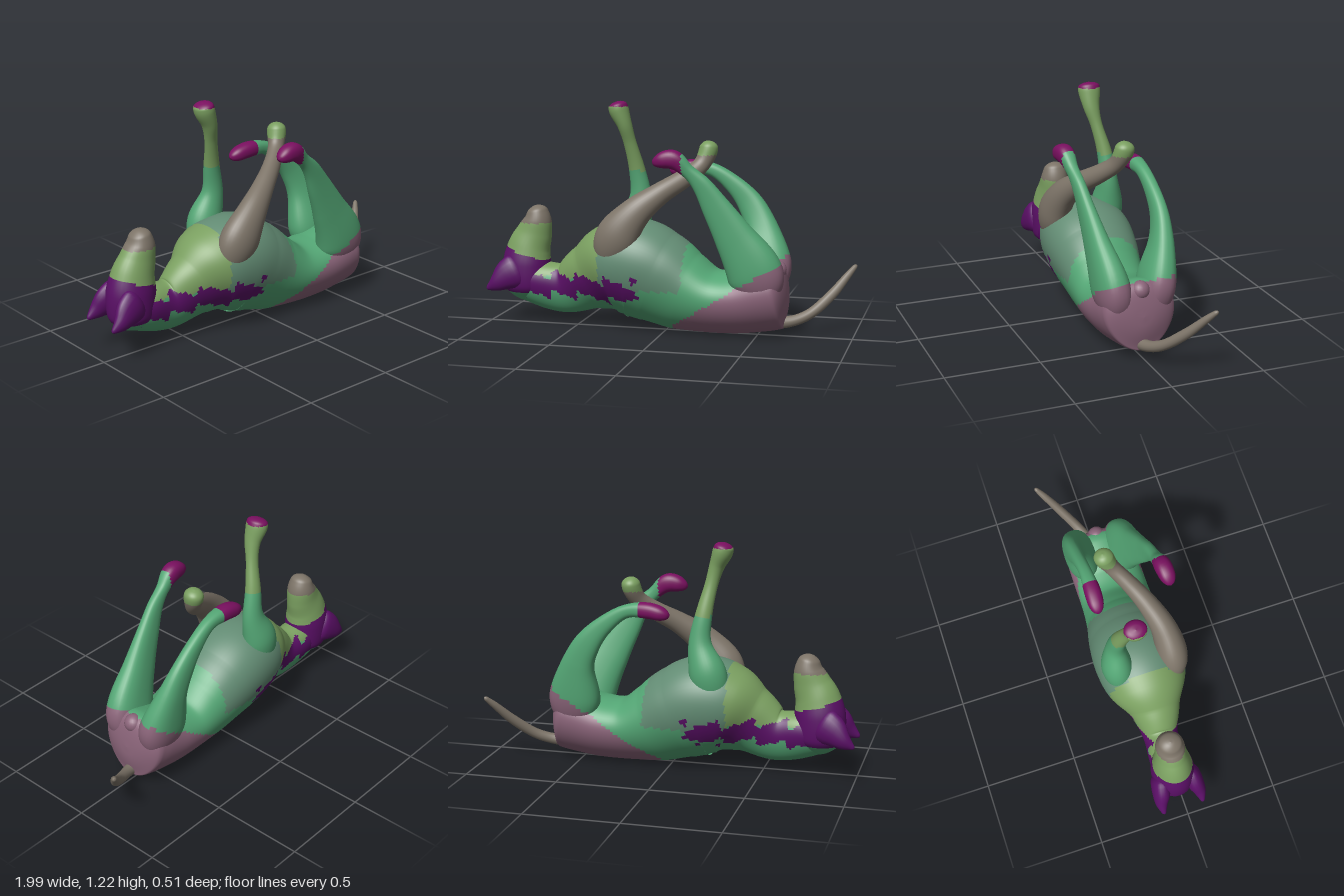
import * as THREE from 'three';

const GREEN = 0x53a574, OLIVE = 0x7a9f60, PURPLE = 0x5a0f66, MAGENTA = 0x7a1060;
const PINK = 0x8a6479, TAUPE = 0x7d7468, GREY = 0x638c74;

// Smooth skin through sections [x, y, z, radius across, radius sideways].
// cap0/cap1: share of the length rounded off at each end; egg: widens the upper half;
// round: 1 is an ellipse, less is squarer. paint(x, y, z) picks the colour of each patch.
function loft(name, sections, paint, { cap0 = 0.05, cap1 = 0.05, egg = 0, round = 1, rings = 64, sides = 32 } = {}) {
  const path = new THREE.CatmullRomCurve3(sections.map(s => new THREE.Vector3(s[0], s[1], s[2])));
  const radii = new THREE.CatmullRomCurve3(sections.map(s => new THREE.Vector3(s[3], s[4], 0)), false, 'catmullrom');
  const dome = d => Math.sqrt(Math.max(0, 1 - (1 - Math.min(1, d)) ** 2));
  const soft = v => Math.sign(v) * Math.abs(v) ** round;
  const pos = [], buckets = new Map();
  for (let i = 0; i <= rings; i++) {
    // rings crowd towards the ends so the domes stay round
    const s = i / rings, t = 0.5 * s + 0.5 * (1 - Math.cos(Math.PI * s)) / 2;
    const c = path.getPoint(t), r = radii.getPoint(t), T = path.getTangent(t);
    const side = new THREE.Vector3(0, 0, 1).addScaledVector(T, -T.z).normalize();
    const up = side.clone().cross(T);
    const k = Math.max(0.001, dome(t / cap0) * dome((1 - t) / cap1));
    for (let j = 0; j < sides; j++) {
      const a = j / sides * Math.PI * 2;
      const p = c.clone().addScaledVector(up, soft(Math.sin(a)) * r.x * k)
        .addScaledVector(side, soft(Math.cos(a)) * r.y * k * (1 + egg * Math.sin(a)));
      pos.push(p.x, p.y, p.z);
    }
  }
  for (let i = 0; i < rings; i++) for (let j = 0; j < sides; j++) {
    const a = i * sides + j, b = i * sides + (j + 1) % sides, c = a + sides, d = b + sides;
    const mid = n => (pos[a * 3 + n] + pos[d * 3 + n]) / 2;
    const color = paint(mid(0), mid(1), mid(2));
    if (!buckets.has(color)) buckets.set(color, []);
    buckets.get(color).push(a, c, b, b, c, d);
  }
  const geo = new THREE.BufferGeometry();
  geo.setAttribute('position', new THREE.Float32BufferAttribute(pos, 3));
  const index = [], mats = [];
  for (const [color, tris] of buckets) {
    geo.addGroup(index.length, tris.length, mats.length);
    for (const v of tris) index.push(v);
    mats.push(new THREE.MeshStandardMaterial({ color }));
  }
  geo.setIndex(index);
  geo.computeVertexNormals();
  const mesh = new THREE.Mesh(geo, mats);
  mesh.name = name;
  return mesh;
}

export function createModel() {
  const model = new THREE.Group();
  model.name = 'animalOnItsBack';

  // Torso and neck, lying along x with the spine underneath
  model.add(loft('torso', [
    [-0.88, 0.25, -0.03, 0.09, 0.085],
    [-0.72, 0.22, -0.025, 0.125, 0.10],
    [-0.57, 0.205, -0.02, 0.14, 0.095],
    [-0.43, 0.27, -0.01, 0.185, 0.14],
    [-0.31, 0.32, -0.01, 0.245, 0.215],
    [-0.18, 0.335, -0.01, 0.27, 0.24],
    [-0.05, 0.29, -0.01, 0.255, 0.23],
    [0.10, 0.22, -0.005, 0.217, 0.205],
    [0.25, 0.177, 0, 0.172, 0.195],
    [0.40, 0.18, 0, 0.17, 0.195],
    [0.53, 0.21, 0, 0.183, 0.195],
    [0.61, 0.23, 0, 0.185, 0.19],
    [0.66, 0.235, 0, 0.18, 0.185],
  ], (x, y, z) => {
    const ragged = 0.02 * Math.sin(x * 37 + y * 60) + 0.012 * Math.sin(x * 83 + z * 30);
    if (x < -0.13 + 2 * ragged && y > 0.18 + ragged && y < 0.29 + ragged) return PURPLE;
    if (x > 0.05 && y < 0.05 + 0.64 * (x - 0.05)) return PINK;
    if (x < -0.33 && y > 0.28) return OLIVE;
    if (x > -0.33 && x < 0.12 && y > 0.25) return GREY;
    return GREEN;
  }, { egg: 0.17, cap0: 0.05, cap1: 0.11, rings: 150, sides: 72 }));

  // Head with the muzzle pointing up
  model.add(loft('head', [
    [-0.80, 0.12, -0.03, 0.09, 0.075],
    [-0.80, 0.21, -0.03, 0.13, 0.11],
    [-0.80, 0.33, -0.03, 0.135, 0.115],
    [-0.785, 0.42, -0.03, 0.12, 0.10],
    [-0.755, 0.50, -0.03, 0.10, 0.083],
    [-0.735, 0.57, -0.03, 0.078, 0.076],
    [-0.735, 0.62, -0.03, 0.058, 0.062],
    [-0.74, 0.655, -0.03, 0.04, 0.045],
  ], (x, y) => y < 0.18 ? GREEN : y < 0.41 - 0.3 * (x + 0.85) ? PURPLE : y > 0.56 ? TAUPE : OLIVE,
  { cap0: 0.15, cap1: 0.12 }));

  // Short, broad-based pointed ears
  for (const [name, s] of [['leftEar', 1], ['rightEar', -1]]) {
    model.add(loft(name, [
      [-0.80, 0.32, -0.03 + s * 0.075, 0.10, 0.05],
      [-0.88, 0.275, -0.03 + s * 0.092, 0.085, 0.05],
      [-0.94, 0.23, -0.03 + s * 0.108, 0.048, 0.034],
      [-0.998, 0.195, -0.03 + s * 0.11, 0.008, 0.008],
    ], () => PURPLE, { cap0: 0.2, rings: 24, sides: 20 }));
  }

  // Front legs: the left one reaches back across the body, the right one stands up
  model.add(loft('leftFrontLeg', [
    [-0.29, 0.33, 0.12, 0.12, 0.10],
    [-0.24, 0.51, 0.15, 0.12, 0.09],
    [-0.14, 0.65, 0.14, 0.085, 0.07],
    [-0.02, 0.75, 0.09, 0.06, 0.055],
    [0.10, 0.83, 0.02, 0.05, 0.045],
    [0.18, 0.90, -0.04, 0.045, 0.042],
    [0.21, 0.97, -0.07, 0.05, 0.052],
    [0.215, 1.025, -0.08, 0.046, 0.048],
  ], (x, y) => y > 0.95 ? OLIVE : TAUPE, { cap0: 0.2, cap1: 0.1 }));
  model.add(loft('rightFrontLeg', [
    [-0.26, 0.33, -0.13, 0.13, 0.10],
    [-0.225, 0.54, -0.15, 0.105, 0.088],
    [-0.18, 0.70, -0.14, 0.062, 0.052],
    [-0.195, 0.85, -0.125, 0.045, 0.04],
    [-0.225, 1.0, -0.09, 0.035, 0.032],
    [-0.25, 1.10, -0.07, 0.04, 0.045],
    [-0.28, 1.175, -0.07, 0.053, 0.06],
    [-0.295, 1.225, -0.07, 0.047, 0.056],
  ], (x, y) => y > 1.2 ? MAGENTA : y > 0.85 ? OLIVE : GREEN, { cap0: 0.2, cap1: 0.07 }));

  // Hind legs: broad thighs folding forward to the paws
  const hindPaint = (x, y) => x < 0.13 ? MAGENTA : x > 0.38 && y < 0.05 + 0.64 * (x - 0.05) ? PINK : GREEN;
  const hindShape = { cap0: 0.15, cap1: 0.08, round: 0.85 };
  model.add(loft('leftHindLeg', [
    [0.53, 0.16, 0.09, 0.12, 0.09],
    [0.505, 0.35, 0.12, 0.148, 0.088],
    [0.395, 0.55, 0.15, 0.105, 0.058],
    [0.305, 0.70, 0.17, 0.075, 0.04],
    [0.23, 0.82, 0.185, 0.05, 0.032],
    [0.16, 0.89, 0.195, 0.036, 0.032],
    [0.08, 0.95, 0.205, 0.05, 0.046],
    [-0.025, 0.93, 0.215, 0.033, 0.038],
  ], hindPaint, hindShape));
  model.add(loft('rightHindLeg', [
    [0.53, 0.16, -0.09, 0.12, 0.09],
    [0.515, 0.37, -0.125, 0.14, 0.088],
    [0.48, 0.56, -0.165, 0.09, 0.058],
    [0.42, 0.68, -0.18, 0.07, 0.042],
    [0.33, 0.78, -0.18, 0.05, 0.035],
    [0.21, 0.86, -0.175, 0.036, 0.034],
    [0.09, 0.87, -0.175, 0.042, 0.044],
    [-0.025, 0.845, -0.18, 0.034, 0.038],
  ], hindPaint, hindShape));

  // Small bump between the thighs
  const bump = new THREE.Mesh(new THREE.SphereGeometry(0.05, 20, 14),
    new THREE.MeshStandardMaterial({ color: PINK }));
  bump.name = 'rumpBump';
  bump.position.set(0.6, 0.36, 0);
  model.add(bump);

  // Tail sweeping up and to the right
  model.add(loft('tail', [
    [0.55, 0.09, 0, 0.05, 0.05],
    [0.65, 0.08, -0.005, 0.032, 0.032],
    [0.76, 0.115, -0.05, 0.028, 0.028],
    [0.87, 0.21, -0.13, 0.027, 0.025],
    [0.95, 0.31, -0.205, 0.019, 0.019],
    [0.99, 0.36, -0.245, 0.011, 0.011],
  ], () => TAUPE, { sides: 16 }));

  return model;
}
